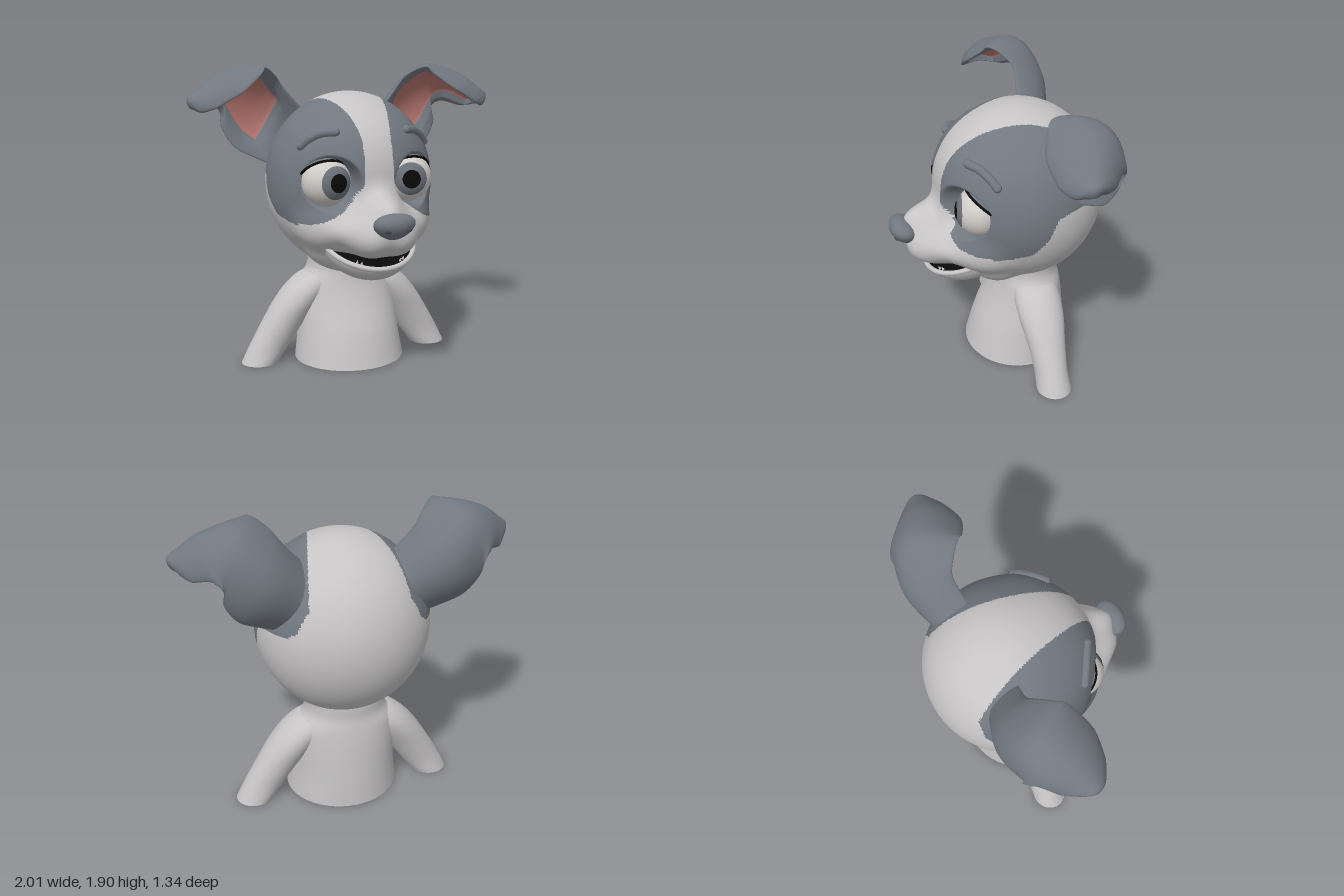
import * as THREE from 'three';
import { mergeVertices } from 'three/addons/utils/BufferGeometryUtils.js';

const mat = (name, color, side = THREE.FrontSide) => {
  const m = new THREE.MeshStandardMaterial({ color, side });
  m.name = name;
  return m;
};
const V = (x, y, z) => new THREE.Vector3(x, y, z);
const { lerp, smoothstep } = THREE.MathUtils;

// Smooth union of ellipsoids: [x, y, z, rx, ry, rz, blend]
const HEAD = [
  [0, 1.17, -0.15, 0.53, 0.56, 0.52, 0.01],   // skull
  [0, 1.3, 0, 0.42, 0.36, 0.36, 0.06],        // forehead
  [0.2, 0.94, 0.12, 0.22, 0.16, 0.19, 0.1],   // cheeks
  [-0.2, 0.94, 0.12, 0.22, 0.16, 0.19, 0.1],
  [0, 0.78, 0.05, 0.33, 0.165, 0.18, 0.08],   // jowl
  [0, 0.94, 0.24, 0.32, 0.14, 0.28, 0.1],     // muzzle root
  [0.07, 0.92, 0.38, 0.14, 0.135, 0.2, 0.06], // muzzle lobes
  [-0.07, 0.92, 0.38, 0.14, 0.135, 0.2, 0.06],
  [0, 1.055, 0.33, 0.1, 0.105, 0.24, 0.12],   // nose bridge
];
function headField(x, y, z) {
  let d = 10;
  for (const [cx, cy, cz, rx, ry, rz, k] of HEAD) {
    const a = (x - cx) / rx, b = (y - cy) / ry, c = (z - cz) / rz;
    const k0 = Math.hypot(a, b, c), k1 = Math.hypot(a / rx, b / ry, c / rz);
    const e = k1 > 1e-6 ? k0 * (k0 - 1) / k1 : -Math.min(rx, ry, rz);
    const h = Math.max(k - Math.abs(d - e), 0) / k;
    d = Math.min(d, e) - h * h * k / 4;
  }
  return d;
}
// Distance along a ray at which it leaves the head
function exitDistance(o, dir) {
  let lo = 0, hi = 1.2;
  for (let i = 0; i < 24; i++) {
    const t = (lo + hi) / 2;
    if (headField(o.x + dir.x * t, o.y + dir.y * t, o.z + dir.z * t) < 0) lo = t; else hi = t;
  }
  return lo;
}

const EYE = V(0.265, 1.215, 0.172), EYE_R = 0.15;

// Lower edge of the dark face patch: height along z at the side, along x in front
const SIDE_EDGE = [[-0.51, 1.3], [-0.47, 1.26], [-0.3, 1.245], [-0.21, 1.22], [-0.16, 1.1], [-0.07, 0.99],
  [0.05, 0.96], [0.16, 0.955]];
const FRONT_EDGE = [[0.08, 1.25], [0.11, 1.18], [0.15, 1.115], [0.22, 1.055], [0.31, 1], [0.39, 0.97], [0.6, 0.955]];
function edgeHeight(table, v) {
  const i = Math.max(1, table.findIndex((p) => p[0] >= v));
  const [a, ya] = table[i - 1], [b, yb] = table[i];
  return lerp(ya, yb, (v - a) / (b - a));
}
function inPatch(x, y, z) {
  const ax = Math.abs(x);
  if (z < -0.51 || ax < 0.09 + 0.25 * Math.max(0, 0.32 - Math.max(z, y < 1.4 ? 0.32 : z))) return false;
  return y > (z > 0.15 ? edgeHeight(FRONT_EDGE, ax) : edgeHeight(SIDE_EDGE, z));
}

function headGeometry() {
  let g = new THREE.SphereGeometry(1, 270, 160);
  g.deleteAttribute('uv');
  g.deleteAttribute('normal');
  g = mergeVertices(g, 1e-5);
  const p = g.attributes.position, o = V(0, 1.08, 0), d = V(0, 0, 0);
  for (let i = 0; i < p.count; i++) {
    d.fromBufferAttribute(p, i).normalize();
    d.multiplyScalar(exitDistance(o, d)).add(o);
    // eye sockets
    if (d.z > 0) {
      const r = Math.hypot(Math.abs(d.x) - EYE.x, d.y - EYE.y);
      d.z = lerp(d.z, Math.min(d.z, 0.14), 1 - smoothstep(r, 0.12, 0.165));
    }
    p.setXYZ(i, d.x, d.y, d.z);
  }
  g.computeVertexNormals();
  // sort faces into the light coat and the dark patches
  const lists = [[], []], ix = g.index.array;
  for (let i = 0; i < ix.length; i += 3) {
    const t = [ix[i], ix[i + 1], ix[i + 2]];
    const mid = (f) => (f(t[0]) + f(t[1]) + f(t[2])) / 3;
    const dark = inPatch(mid((k) => p.getX(k)), mid((k) => p.getY(k)), mid((k) => p.getZ(k)));
    lists[dark ? 1 : 0].push(...t);
  }
  return grouped(g, lists);
}
function grouped(g, lists) {
  g.setIndex(lists.flat());
  let start = 0;
  lists.forEach((l, m) => { g.addGroup(start, l.length, m); start += l.length; });
  return g;
}

// Skin closed rings of points; pick(i, j) gives the material slot
function loft(rings, pick = () => 0) {
  const n = rings[0].length, pts = rings.flat(), lists = [[], []];
  for (let i = 0; i < rings.length - 1; i++) {
    for (let j = 0; j < n; j++) {
      const a = i * n + j, b = i * n + (j + 1) % n;
      lists[pick(i, j)].push(a, a + n, b + n, a, b + n, b);
    }
  }
  for (const end of [0, rings.length - 1]) {
    const base = pts.length, ring = rings[end];
    pts.push(...ring, ring.reduce((s, q) => s.add(q), V(0, 0, 0)).divideScalar(n));
    for (let j = 0; j < n; j++) {
      const a = base + j, b = base + (j + 1) % n;
      lists[0].push(base + n, ...(end ? [b, a] : [a, b]));
    }
  }
  const g = new THREE.BufferGeometry().setFromPoints(pts);
  grouped(g, lists);
  g.computeVertexNormals();
  return g;
}
// Stacked ellipses from [y, centreX, radiusX, centreZ, radiusZ]
function stack(rows) {
  const at = (k) => new THREE.CatmullRomCurve3(rows.map((r) => V(r[k], r[k + 1], r[0])));
  const cx = at(1), cz = at(3), rings = [];
  for (let i = 0; i <= 30; i++) {
    const a = cx.getPoint(i / 30), b = cz.getPoint(i / 30), ring = [];
    for (let j = 0; j < 48; j++) {
      const t = j / 48 * Math.PI * 2;
      ring.push(V(a.x + a.y * Math.cos(t), Math.max(0, a.z), b.x + b.y * Math.sin(t)));
    }
    rings.push(ring);
  }
  return loft(rings);
}
function mirror(g) {
  const m = g.clone().applyMatrix4(new THREE.Matrix4().makeScale(-1, 1, 1)), ix = m.index.array;
  for (let i = 0; i < ix.length; i += 3) [ix[i], ix[i + 1]] = [ix[i + 1], ix[i]];
  return m;
}

// Cupped ear: a centre line and a half-width vector, folding forward at the tip
function earGeometry() {
  const centre = new THREE.CatmullRomCurve3([V(0.32, 1.45, -0.4), V(0.52, 1.62, -0.46), V(0.665, 1.8, -0.38),
    V(0.8, 1.785, -0.265), V(0.92, 1.7, -0.21), V(0.975, 1.66, -0.195), V(0.99, 1.645, -0.19)]);
  const width = new THREE.CatmullRomCurve3([V(-0.08, 0.19, 0.05), V(-0.12, 0.22, 0.08), V(-0.1, 0.17, 0.17),
    V(-0.04, 0.05, 0.21), V(-0.02, 0.02, 0.155), V(0, 0, 0.085), V(0, 0, 0.02)]);
  const N = 40, M = 48, rings = [];
  const inner = (i, j) => i > 3 && i < 30 && j > M / 2 + 6 && j < M - 6;
  for (let i = 0; i <= N; i++) {
    const c = centre.getPoint(i / N), w = width.getPoint(i / N), len = w.length();
    const n = centre.getTangent(i / N).cross(w).normalize();
    const thick = 0.052 * Math.min(1, len / 0.1), ring = [];
    for (let j = 0; j < M; j++) {
      const t = j / M * Math.PI * 2, s = Math.cos(t);
      const h = -Math.sin(t) * (inner(i, j) ? 0.35 : 1);
      ring.push(c.clone().addScaledVector(w, s).addScaledVector(n, 0.52 * len * s * s + thick * h));
    }
    rings.push(ring);
  }
  return loft(rings, (i, j) => (inner(i, j) && inner(i + 1, j + 1) ? 1 : 0));
}

export function createModel() {
  const root = new THREE.Group();
  root.name = 'puppyBust';
  const coat = mat('lightCoat', 0xc6c4c4), dark = mat('darkCoat', 0x717880), pink = mat('innerEar', 0xb4756f);
  const white = mat('eyeWhite', 0xd0ccc8), iris = mat('iris', 0x6c727a), black = mat('black', 0x0a0a0a, THREE.DoubleSide);
  const nostril = mat('nostril', 0x4c5158), lid = mat('eyelid', 0x6c737b, THREE.DoubleSide);
  const add = (parent, name, geo, material, x = 0, y = 0, z = 0) => {
    const m = new THREE.Mesh(geo, material);
    m.name = name;
    m.position.set(x, y, z);
    parent.add(m);
    return m;
  };
  const ball = (rx, ry, rz) => new THREE.SphereGeometry(1, 32, 20).scale(rx, ry, rz);

  add(root, 'head', headGeometry(), [coat, dark]);
  add(root, 'torso', stack([[0, 0, 0.36, -0.145, 0.335], [0.2, 0, 0.335, -0.168, 0.298], [0.4, 0, 0.325, -0.2, 0.243],
    [0.52, 0, 0.315, -0.21, 0.213], [0.6, 0, 0.265, -0.207, 0.2], [0.66, 0, 0.255, -0.205, 0.2], [0.75, 0, 0.27, -0.2, 0.2]]), coat);
  const arm = stack([[0, 0.597, 0.117, -0.2, 0.11], [0.1, 0.535, 0.13, -0.2, 0.105], [0.25, 0.44, 0.14, -0.2, 0.12],
    [0.4, 0.335, 0.15, -0.2, 0.145], [0.5, 0.25, 0.15, -0.2, 0.145], [0.56, 0.2, 0.12, -0.2, 0.12], [0.59, 0.17, 0.06, -0.2, 0.06]]);
  const ear = earGeometry();

  for (const s of [1, -1]) {
    const side = s > 0 ? 'left' : 'right';
    add(root, side + 'Arm', s > 0 ? arm : mirror(arm), coat);
    add(root, side + 'Ear', s > 0 ? ear : mirror(ear), [dark, pink]);

    // eye: ball, iris and pupil caps, upper lid with lash line
    const eye = new THREE.Group();
    eye.name = side + 'Eye';
    eye.position.set(s * EYE.x, EYE.y, EYE.z);
    root.add(eye);
    add(eye, 'eyeball', ball(EYE_R, EYE_R, EYE_R), white);
    const cap = (r, angle) => new THREE.SphereGeometry(r, 40, 10, 0, Math.PI * 2, 0, angle).rotateX(Math.PI / 2);
    for (const m of [add(eye, 'iris', cap(EYE_R + 0.002, 0.71), iris), add(eye, 'pupil', cap(EYE_R + 0.004, 0.37), black)]) {
      m.rotation.y = -s * 0.23;
      m.rotation.x = -0.04;
    }
    const upper = new THREE.Group();
    upper.name = 'upperLid';
    upper.rotation.x = -0.72;
    eye.add(upper);
    add(upper, 'lid', new THREE.SphereGeometry(0.159, 40, 12, 0, Math.PI * 2, 0, 1.25), lid);
    add(upper, 'lashLine', new THREE.TorusGeometry(0.149, 0.008, 8, 48).rotateX(Math.PI / 2), black, 0, 0.048, 0);

    // brow laid on the forehead
    const brow = [[0.4, 1.425], [0.36, 1.465], [0.3, 1.5], [0.225, 1.512]].map(([x, y]) =>
      V(s * x, y, exitDistance(V(s * x, y, 0), V(0, 0, 1)) + 0.006));
    add(root, side + 'Brow', new THREE.TubeGeometry(new THREE.CatmullRomCurve3(brow), 24, 0.026, 10), dark);
    for (const end of [brow[0], brow[3]]) add(root, side + 'BrowEnd', ball(0.026, 0.026, 0.026), dark).position.copy(end);
    add(root, side + 'Nostril', ball(0.026, 0.018, 0.014), nostril, s * 0.06, 0.992, 0.64);
  }

  // nose: wide on top, narrow and set back below
  const nose = ball(1, 1, 1), np = nose.attributes.position;
  for (let i = 0; i < np.count; i++) {
    const y = np.getY(i);
    np.setXYZ(i, np.getX(i) * (0.122 + 0.03 * y), y * 0.08, np.getZ(i) * 0.085 + y * 0.025);
  }
  nose.computeVertexNormals();
  add(root, 'nose', nose, dark, 0, 1.0, 0.58);

  // lower jaw, tilted open
  const jaw = new THREE.Group();
  jaw.name = 'jaw';
  jaw.position.set(0, 0.86, 0.15);
  jaw.rotation.x = 0.436;
  root.add(jaw);
  add(jaw, 'chin', new THREE.SphereGeometry(1, 48, 16, 0, Math.PI * 2, Math.PI / 2, Math.PI / 2).scale(0.295, 0.225, 0.335), coat);
  add(jaw, 'mouthFloor', new THREE.CircleGeometry(1, 48).rotateX(-Math.PI / 2).scale(0.285, 1, 0.325), black, 0, 0.002, 0);
  add(jaw, 'mouthInside', ball(0.16, 0.06, 0.2), black, 0, 0, 0.05);
  const lipPoint = (a, k = 1) => V(Math.sin(a) * 0.292 * k, 0, Math.cos(a) * 0.332 * k);
  const lip = [];
  for (let i = 0; i <= 24; i++) lip.push(lipPoint(lerp(-1.35, 1.35, i / 24)));
  add(jaw, 'lowerLip', new THREE.TubeGeometry(new THREE.CatmullRomCurve3(lip), 64, 0.016, 10), coat);
  for (const end of [lip[0], lip[24]]) add(jaw, 'lipCorner', ball(0.018, 0.018, 0.018), coat).position.copy(end);
  for (const a of [-0.58, -0.48, 0.48, 0.58]) {
    add(jaw, 'tooth', new THREE.ConeGeometry(0.01, 0.03, 10), white).position.copy(lipPoint(a, 0.92)).setY(0.012);
  }
  return root;
}
